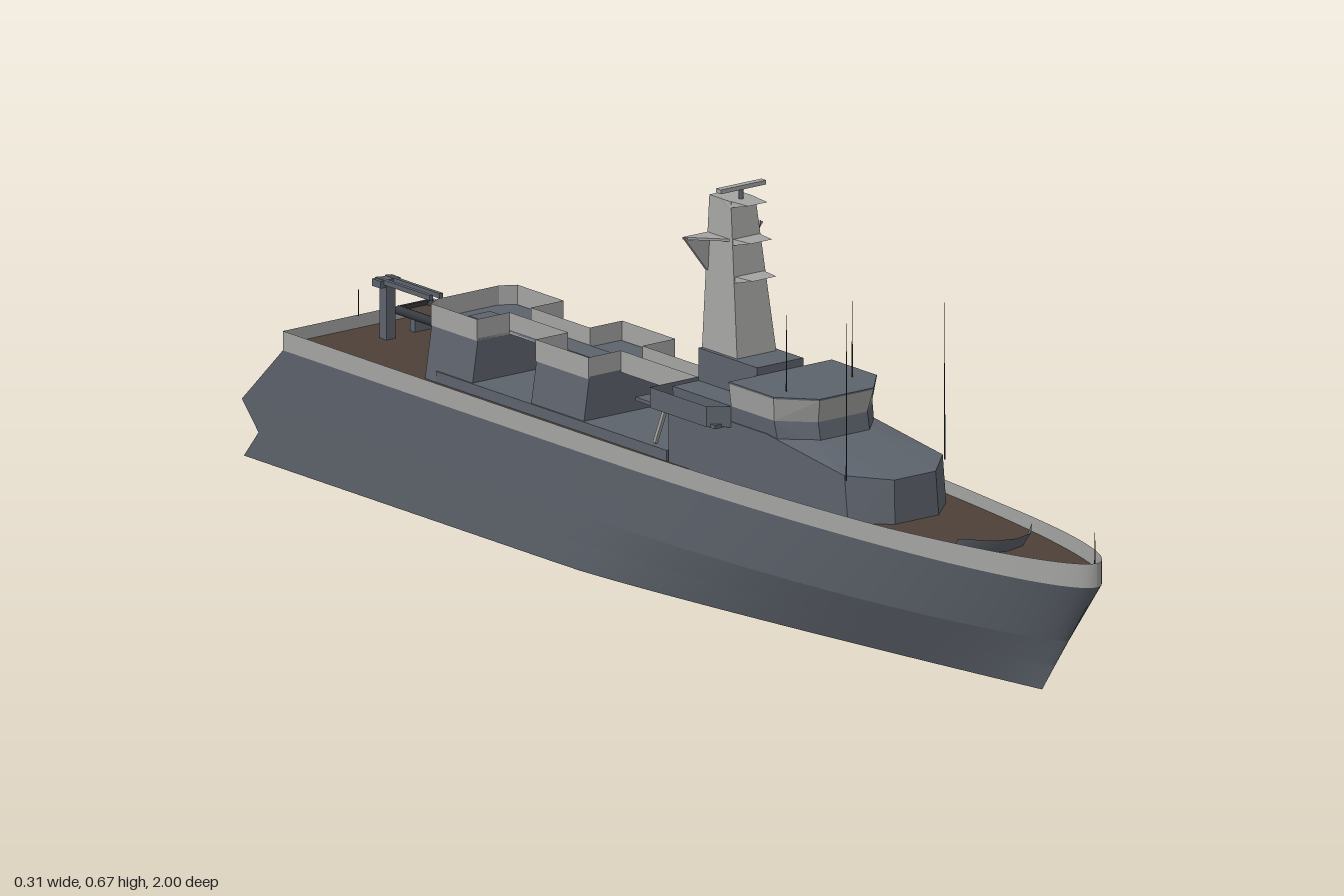
import * as THREE from 'three';
import { ConvexGeometry } from 'three/addons/geometries/ConvexGeometry.js';

const flat = (name, color) => {
  const m = new THREE.MeshStandardMaterial({ color, side: THREE.DoubleSide });
  m.name = name;
  return m;
};

export function createModel() {
  const ship = new THREE.Group();
  ship.name = 'patrolShip';
  const grey = flat('hull grey', 0x5d636c);
  const light = flat('pale grey', 0xa3a3a2);
  const brown = flat('deck brown', 0x4e4037);
  const dark = flat('dark grey', 0x34373c);

  const add = (name, geo, mat, x = 0, y = 0, z = 0) => {
    const m = new THREE.Mesh(geo, mat);
    m.name = name;
    m.position.set(x, y, z);
    ship.add(m);
    return m;
  };
  const box = (name, mat, w, h, d, x, y, z) => add(name, new THREE.BoxGeometry(w, h, d), mat, x, y, z);

  // Surface between two polylines of equal length
  const strip = (name, a, b, mat) => {
    const pos = [], idx = [];
    a.forEach((p, i) => pos.push(...p, ...b[i]));
    for (let i = 0; i < a.length - 1; i++) {
      const k = i * 2;
      idx.push(k, k + 1, k + 2, k + 1, k + 3, k + 2);
    }
    const g = new THREE.BufferGeometry();
    g.setAttribute('position', new THREE.Float32BufferAttribute(pos, 3));
    g.setIndex(idx);
    g.computeVertexNormals();
    return add(name, g, mat);
  };

  // Faceted solids: from plain corners, or from +x corners mirrored
  const hullOf = (name, mat, pts) =>
    add(name, new ConvexGeometry(pts.map((p) => new THREE.Vector3(...p))), mat);
  const solid = (name, mat, half) => hullOf(name, mat, half.flatMap(([x, y, z]) => [[x, y, z], [-x, y, z]]));

  // Upright open wall along an [x, z] path
  const wall = (name, mat, path, y0, y1) => {
    for (let i = 0; i < path.length - 1; i++) {
      const seg = [path[i], path[i + 1]];
      strip(name, seg.map(([x, z]) => [x, y1, z]), seg.map(([x, z]) => [x, y0, z]), mat);
    }
  };

  // ---- Hull: open shell of level lines from stern to stem ----
  const N = 36;
  const line = (y, width, zStern, zBow, zTaper, a, p) => (side) =>
    Array.from({ length: N + 1 }, (_, i) => {
      const z = zStern + (zBow - zStern) * Math.sin((i / N) * Math.PI / 2);
      const s = Math.min(1, Math.max(0, (z - zTaper) / (zBow - zTaper)));
      return [side * width * Math.pow(1 - Math.pow(s, a), p), y, z];
    });
  const sheer = line(0.2, 0.153, -0.89, 1, -0.1, 2, 0.53);
  const knuckle = line(0.095, 0.149, -1, 0.927, -0.1, 2, 0.72);
  const base = line(0, 0.145, -1, 0.86, -0.15, 1.25, 1);
  const raise = ([x, , z]) => [x, 0.232 + 0.008 * Math.max(0, (z - 0.6) / 0.4), z];
  const level = (p, y) => p.map(([x, , z]) => [x * 0.999, y, z]);
  for (const s of [1, -1]) {
    const top = sheer(s), mid = knuckle(s), low = base(s);
    // The stern is notched between knuckle and foot
    const notch = mid.map((p, i) => p.map((v, k) => (v + low[i][k]) / 2 + (i === 0 && k === 2 ? 0.04 : 0)));
    const skin = (name, a, b, mat) => (s > 0 ? strip(name, a, b, mat) : strip(name, b, a, mat));
    skin('upperHullSide', mid, top, grey);
    skin('middleHullSide', notch, mid, grey);
    skin('lowerHullSide', low, notch, grey);
    skin('bulwark', top, top.map(raise), light);
  }
  strip('mainDeck', level(sheer(-1), 0.21), level(sheer(1), 0.21), brown);

  // ---- Stern: corner cheeks, recessed step and notched transom ----
  for (const s of [1, -1]) {
    const cheekOut = [[s * 0.153, 0.2, -0.89], [s * 0.149, 0.095, -1]];
    const cheekIn = [[s * 0.1, 0.2, -0.89], [s * 0.1, 0.095, -1]];
    const a = s > 0 ? cheekOut : cheekIn, b = s > 0 ? cheekIn : cheekOut;
    strip('sternCheek', a, b, grey);
    strip('recessSide', cheekIn, [[s * 0.1, 0.2, -0.89], [s * 0.07, 0.1, -0.91]], grey);
  }
  const across = (x, y, z) => [[-x, y, z], [x, y, z]];
  strip('recessBack', across(0.1, 0.2, -0.89), across(0.07, 0.1, -0.91), grey);
  strip('recessFloor', across(0.07, 0.1, -0.91), across(0.1, 0.098, -1), grey);
  strip('upperTransom', across(0.149, 0.095, -1), across(0.147, 0.0475, -0.96), grey);
  strip('lowerTransom', across(0.147, 0.0475, -0.96), across(0.145, 0, -1), grey);
  wall('sternBulwark', light, [[-0.153, -0.89], [0.153, -0.89]], 0.2, 0.232);
  wall('stepRail', light, [[-0.095, -0.975], [-0.1, -0.999], [0.1, -0.999], [0.095, -0.975]], 0.098, 0.13);

  // ---- Raked breakwater on the foredeck ----
  strip('breakwater',
    [[-0.075, 0.236, 0.74], [-0.037, 0.236, 0.785], [0, 0.236, 0.797], [0.037, 0.236, 0.785], [0.075, 0.236, 0.74]],
    [[-0.08, 0.208, 0.725], [-0.037, 0.208, 0.762], [0, 0.208, 0.772], [0.037, 0.208, 0.762], [0.08, 0.208, 0.725]], grey);

  // ---- Forward deckhouse and bridge ----
  solid('deckhouse', grey, [
    [0.045, 0.2, 0.54], [0.1, 0.2, 0.49], [0.1, 0.2, 0.03],
    [0.042, 0.282, 0.535], [0.1, 0.287, 0.48], [0.1, 0.312, 0.28], [0.1, 0.312, 0.03], [0.05, 0.315, 0.32],
  ]);
  solid('bridgeBase', grey, [
    [0.05, 0.29, 0.36], [0.097, 0.29, 0.31], [0.097, 0.29, 0.04],
    [0.05, 0.338, 0.35], [0.1, 0.338, 0.3], [0.1, 0.338, 0.04],
  ]);
  solid('bridge', light, [
    [0.05, 0.338, 0.35], [0.1, 0.338, 0.3], [0.1, 0.338, 0.19],
    [0.055, 0.376, 0.36], [0.105, 0.376, 0.305], [0.105, 0.376, 0.19],
  ]);
  solid('bridgeRoof', grey, [
    [0.055, 0.376, 0.36], [0.105, 0.376, 0.305], [0.105, 0.376, 0.19],
    [0.055, 0.379, 0.36], [0.105, 0.379, 0.305], [0.105, 0.379, 0.19],
  ]);
  box('mastBase', grey, 0.094, 0.06, 0.15, 0, 0.362, 0.115);

  // Bridge wings with open screens
  box('wingDeck', grey, 0.25, 0.006, 0.16, 0, 0.305, 0.1);
  for (const s of [1, -1]) {
    wall('wingScreen', grey, [[s * 0.1, 0.19], [s * 0.13, 0.165], [s * 0.13, 0.02], [s * 0.03, 0.02]], 0.303, 0.337);
    const brace = box('wingBrace', light, 0.006, 0.075, 0.006, s * 0.09, 0.265, -0.002);
    brace.rotation.x = 0.4;
  }
  box('aftLanding', grey, 0.1, 0.006, 0.06, -0.07, 0.305, 0);
  box('aftLocker', grey, 0.03, 0.035, 0.04, 0.08, 0.32, 0.005);

  // ---- Midships: low casing, two blocks with tubs and a raised walkway ----
  box('lowCasing', grey, 0.2, 0.028, 0.59, 0, 0.214, -0.27);
  box('walkway', grey, 0.044, 0.006, 0.6, 0, 0.3, -0.28);
  for (const [a, b] of [[0.02, -0.19], [-0.325, -0.475]])
    for (const s of [1, -1]) wall('walkwayScreen', light, [[s * 0.022, a], [s * 0.022, b]], 0.296, 0.332);
  for (const [a, b, end] of [[-0.19, -0.325, 0], [-0.475, -0.608, 1]]) {
    const c = b + (end ? 0.015 : 0);
    solid('gunBlock', grey, [
      [0.1, 0.21, a], [0.1, 0.21, c], [0.07, 0.21, b],
      [0.086, 0.3, a], [0.086, 0.3, c], [0.06, 0.3, b],
    ]);
    for (const s of [1, -1]) {
      const path = [[s * 0.022, a], [s * 0.088, a], [s * 0.088, c], [s * 0.062, b], [s * (end ? 0 : 0.022), b]];
      wall('tubScreen', light, path, 0.296, 0.332);
    }
  }

  // ---- Mast with front shelves and flat side wings ----
  solid('mast', light, [
    [0.04, 0.39, 0.13], [0.04, 0.39, 0.04], [0.025, 0.642, 0.095], [0.025, 0.642, 0.04],
  ]);
  for (const [y, w, z] of [[0.522, 0.032, 0.112], [0.582, 0.029, 0.104], [0.642, 0.026, 0.095]])
    solid('mastShelf', light, [
      [w, y, z - 0.02], [w, y - 0.01, z - 0.02], [w * 0.75, y, z + 0.038], [w, y - 0.01, z],
    ]);
  for (const s of [1, -1]) {
    const plate = [[0.02, 0.515], [0.034, 0.52], [0.08, 0.58], [0.02, 0.58]];
    hullOf('mastWing', light, plate.flatMap(([x, y]) => [[s * x, y, 0.04], [s * x, y, 0.046]]));
    const gusset = [[0.02, 0.04], [0.08, 0.04], [0.025, 0.1]];
    hullOf('wingTop', light, gusset.flatMap(([x, z]) => [[s * x, 0.577, z], [s * x, 0.581, z]]));
  }
  add('radarPost', new THREE.CylinderGeometry(0.004, 0.004, 0.022, 8), grey, 0, 0.65, 0.09);
  box('radarBar', light, 0.092, 0.007, 0.012, 0, 0.662, 0.09);

  // ---- Whip aerials and staffs ----
  const whip = (name, x, y0, y1, z) =>
    add(name, new THREE.CylinderGeometry(0.0004, 0.0012, y1 - y0, 5), dark, x, (y0 + y1) / 2, z);
  for (const s of [1, -1]) {
    whip('bridgeAerial', s * 0.067, 0.378, 0.505, 0.29);
    whip('foreAerial', s * 0.1, 0.28, 0.54, 0.485);
  }
  whip('jackStaff', 0, 0.235, 0.29, 0.995);
  whip('ensignStaff', 0, 0.23, 0.275, -0.889);

  // ---- Boat crane ----
  box('cranePost', grey, 0.018, 0.095, 0.018, 0, 0.255, -0.815);
  for (const s of [1, -1]) box('craneArm', grey, 0.007, 0.008, 0.14, s * 0.01, 0.306, -0.76);
  box('craneHead', grey, 0.04, 0.012, 0.022, 0, 0.303, -0.818);

  // ---- Inflatable boat on its cradle ----
  const bx = 0.08, tube = new THREE.CatmullRomCurve3([
    [-0.03, 0.24, -0.85], [-0.03, 0.24, -0.78], [-0.028, 0.241, -0.72], [0, 0.246, -0.685],
    [0.028, 0.241, -0.72], [0.03, 0.24, -0.78], [0.03, 0.24, -0.85],
  ].map(([x, y, z]) => new THREE.Vector3(x + bx, y, z)));
  add('boatTube', new THREE.TubeGeometry(tube, 28, 0.008, 8), dark);
  const keel = solid('boatHull', dark, [
    [0.028, 0.238, -0.847], [0.028, 0.238, -0.725], [0, 0.241, -0.69], [0, 0.224, -0.847], [0, 0.226, -0.74],
  ]);
  keel.position.x = bx;
  box('boatFloor', brown, 0.05, 0.004, 0.115, bx, 0.239, -0.785);
  box('boatTransom', dark, 0.056, 0.014, 0.006, bx, 0.241, -0.845);
  box('boatBowCover', light, 0.036, 0.005, 0.025, bx, 0.243, -0.713);
  for (const z of [-0.82, -0.74]) box('boatCradle', grey, 0.05, 0.026, 0.012, bx, 0.222, z);

  return ship;
}
